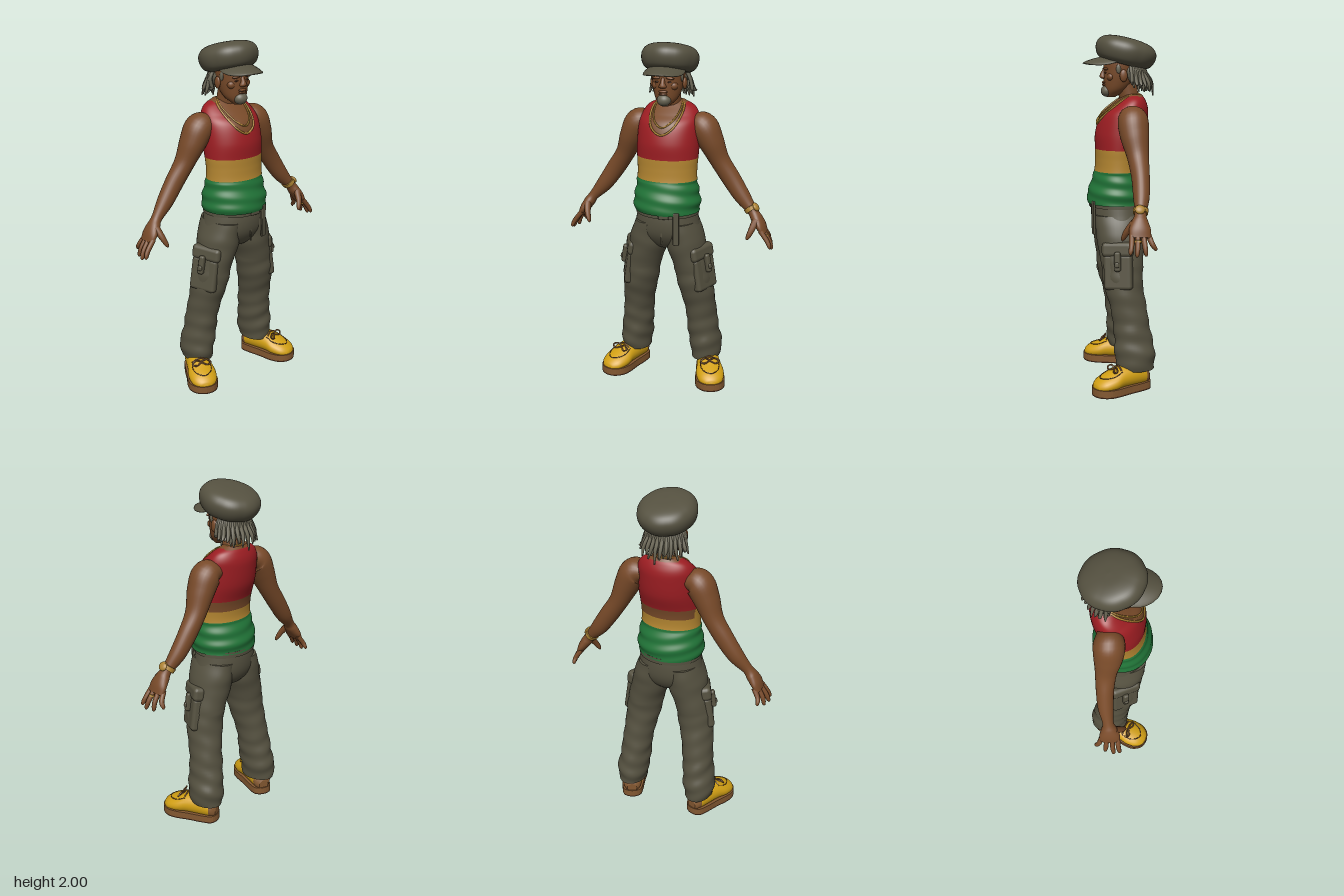
import * as THREE from 'three';
import { RoundedBoxGeometry } from 'three/addons/geometries/RoundedBoxGeometry.js';

const mat = (name, color) => {
  const m = new THREE.MeshStandardMaterial({ color });
  m.name = name;
  return m;
};
const V = (x, y, z) => new THREE.Vector3(x, y, z);
const UP = V(0, 1, 0), DOWN = V(0, -1, 0), FRONT = V(0, 0, 1);

// Smooth sweep through rings [x, y, z, radiusA, radiusB]
function sweep(rings, { seg = 24, steps = 5, dir = null, ref = FRONT, bump = null } = {}) {
  const path = new THREE.CatmullRomCurve3(rings.map(r => V(r[0], r[1], r[2])), false, 'catmullrom');
  const size = new THREE.CatmullRomCurve3(rings.map(r => V(r[3], r[4], 0)), false, 'catmullrom');
  const n = (rings.length - 1) * steps, pos = [], idx = [];
  for (let i = 0; i <= n; i++) {
    const p = path.getPoint(i / n), r = size.getPoint(i / n), t = dir || path.getTangent(i / n);
    const a = t.clone().cross(ref).normalize(), b = t.clone().cross(a).normalize();
    for (let j = 0; j < seg; j++) {
      const th = j / seg * Math.PI * 2, k = bump ? bump(p, th) : 1;
      const q = p.clone().addScaledVector(a, Math.cos(th) * r.x * k).addScaledVector(b, Math.sin(th) * r.y * k);
      pos.push(q.x, q.y, q.z);
    }
  }
  for (let i = 0; i < n; i++) for (let j = 0; j < seg; j++) {
    const a = i * seg + j, b = i * seg + (j + 1) % seg;
    idx.push(a, b, b + seg, a, b + seg, a + seg);
  }
  for (const end of [0, n]) {
    const base = pos.length / 3, p = path.getPoint(end / n);
    pos.push(...pos.slice(end * seg * 3, (end + 1) * seg * 3), p.x, p.y, p.z);
    for (let j = 0; j < seg; j++) {
      const a = base + j, b = base + (j + 1) % seg;
      if (end) idx.push(base + seg, a, b); else idx.push(base + seg, b, a);
    }
  }
  const g = new THREE.BufferGeometry();
  g.setAttribute('position', new THREE.Float32BufferAttribute(pos, 3));
  g.setIndex(idx);
  g.computeVertexNormals();
  return g;
}

// Sort triangles into material groups by the position of their centre
function paint(g, count, pick) {
  const lists = Array.from({ length: count }, () => []), p = g.attributes.position, ix = g.index.array;
  for (let i = 0; i < ix.length; i += 3) {
    const c = V(0, 0, 0);
    for (let k = 0; k < 3; k++) c.add(V(0, 0, 0).fromBufferAttribute(p, ix[i + k]));
    lists[pick(c.divideScalar(3))].push(ix[i], ix[i + 1], ix[i + 2]);
  }
  g.setIndex(lists.flat());
  let start = 0;
  lists.forEach((l, m) => { g.addGroup(start, l.length, m); start += l.length; });
  return g;
}

export function createModel() {
  const model = new THREE.Group();
  model.name = 'standingMan';
  const skin = mat('skin', 0x784a29), olive = mat('oliveCloth', 0x555140), hair = mat('greyHair', 0x686453);
  const red = mat('redCloth', 0x9c1d22), yellow = mat('yellowCloth', 0xb48631), green = mat('greenCloth', 0x207337);
  const suede = mat('yellowSuede', 0xd2a014), sole = mat('tanSole', 0x835831), dark = mat('darkBrown', 0x4f2f1c);
  const gold = mat('gold', 0xac8232);

  let seed = 7;
  const rnd = () => (seed = (seed * 16807) % 2147483647) / 2147483647;
  const add = (name, g, m, parent = model) => {
    const mesh = new THREE.Mesh(g, m);
    mesh.name = name;
    parent.add(mesh);
    return mesh;
  };
  const ball = (name, m, [x, y, z], [a, b, c], rx = 0, rz = 0) => {
    const mesh = add(name, new THREE.SphereGeometry(1, 24, 16).scale(a, b, c), m);
    mesh.position.set(x, y, z);
    mesh.rotation.set(rx, 0, rz);
    return mesh;
  };
  const box = (name, m, [x, y, z], [w, h, d], ry = 0, rz = 0) => {
    const mesh = add(name, new RoundedBoxGeometry(w, h, d, 2, Math.min(w, h, d) * 0.35), m);
    mesh.position.set(x, y, z);
    mesh.rotation.set(0, ry, rz, 'ZYX');
    return mesh;
  };
  const cord = (name, m, pts, r, closed = false, parent = model) => add(name, new THREE.TubeGeometry(
    new THREE.CatmullRomCurve3(pts.map(p => V(...p)), closed), 48, r, 6, closed), m, parent);

  // Torso with striped tank top, open neckline and bare lower back
  const torso = sweep([
    [0, 1.05, .012, .19, .168], [0, 1.1, .012, .195, .172], [0, 1.16, .01, .186, .155], [0, 1.235, .012, .175, .13],
    [0, 1.3, .01, .174, .127], [0, 1.36, .005, .178, .132], [0, 1.45, -.01, .18, .146], [0, 1.55, -.03, .175, .135],
    [0, 1.6, -.055, .162, .107], [0, 1.64, -.072, .132, .075], [0, 1.668, -.078, .075, .05]],
  { seg: 112, steps: 12, dir: UP,
    bump: (p, th) => p.y < 1.225 ? 1 + .02 * Math.sin(p.y * 85 + 2 * Math.sin(th + 1)) : 1 });
  paint(torso, 4, c => {
    if (c.y < 1.235) return 0;
    if (c.y < 1.36) return c.z < -.04 && c.y > 1.3 ? 3 : 1;
    const u = 1 - Math.abs(c.x / .092) ** 2.6;
    const neck = u > 0 && (c.z > -.07 ? c.y > 1.635 - .135 * Math.sqrt(u) : c.y > 1.655);
    return neck ? 3 : 2;
  });
  add('tankTopTorso', torso, [green, yellow, red, skin]);
  add('neck', sweep([[0, 1.56, -.065, .075, .065], [0, 1.64, -.06, .06, .058], [0, 1.76, -.03, .057, .06]], { dir: UP }), skin);

  // Head and face
  add('head', sweep([[0, 1.652, .047, .025, .025], [0, 1.69, .02, .062, .062], [0, 1.74, 0, .08, .087],
    [0, 1.8, -.01, .09, .098], [0, 1.86, -.02, .092, .105], [0, 1.92, -.03, .07, .08]], { seg: 32, dir: UP }), skin);
  add('nose', sweep([[0, 1.81, .08, .01, .01], [0, 1.785, .09, .013, .015], [0, 1.764, .092, .022, .018],
    [0, 1.754, .086, .014, .01]], { seg: 14, dir: DOWN }), skin);
  ball('beard', hair, [0, 1.687, .068], [.04, .034, .036], .3);
  ball('upperLip', skin, [0, 1.735, .085], [.026, .008, .011]);
  ball('lowerLip', skin, [0, 1.721, .085], [.024, .007, .012]);
  ball('mouthLine', dark, [0, 1.728, .089], [.022, .0025, .005]);
  for (const s of [1, -1]) {
    ball('eye', dark, [s * .036, 1.788, .08], [.013, .0045, .005]);
    ball('browRidge', skin, [s * .037, 1.81, .078], [.026, .008, .012], 0, s * -.12);
    ball('cheek', skin, [s * .047, 1.765, .052], [.028, .024, .022]);
    ball('ear', skin, [s * .094, 1.772, -.015], [.012, .034, .022]);
    ball('sideburn', hair, [s * .086, 1.81, .012], [.008, .026, .014]);
  }

  // Dreadlocks hanging and flaring out from under the cap
  ball('hairBase', hair, [0, 1.8, -.062], [.092, .085, .08]);
  for (let layer = 0; layer < 2; layer++) for (let i = 0; i < 15; i++) {
    const f = .12 + (i + layer * .5) / 14.5 * (Math.PI - .24), c = Math.cos(f), d = Math.sin(f);
    const out = .138 + rnd() * .024 - layer * .024, end = 1.65 + rnd() * .05 + .035 * Math.abs(c);
    add('dreadlock', sweep([[c * .085, 1.845, -.045 - d * .08, .01, .01], [c * .112, 1.79, -.045 - d * .105, .011, .011],
      [c * (out - .014), 1.735, -.045 - d * (out - .018), .0105, .0105],
      [c * out + (rnd() - .5) * .025, end, -.045 - d * out * .95, .004, .004]], { seg: 7, steps: 3 }), hair);
  }

  // Cap, tilted back, with curved visor
  const cap = add('capCrown', sweep([[0, -.075, 0, .11, .115], [0, -.055, 0, .142, .15], [0, -.015, 0, .158, .17],
    [0, .025, 0, .155, .168], [0, .057, 0, .128, .138], [0, .073, 0, .075, .08], [0, .077, 0, .004, .004]],
  { seg: 64, dir: UP, bump: (p, th) => 1 + .016 * Math.abs(Math.cos(th * 4)) }), olive);
  cap.position.set(0, 1.905, -.04);
  cap.rotation.x = -.25;
  const visor = ball('capVisor', olive, [0, 1.868, .068], [.115, .016, .14], .2);
  const vp = visor.geometry.attributes.position;
  for (let i = 0; i < vp.count; i++) vp.setY(i, vp.getY(i) - vp.getX(i) ** 2 * 2.4);
  visor.geometry.computeVertexNormals();

  // Necklaces
  const chain = half => [...half, ...half.slice(1, -1).reverse().map(([x, y, z]) => [-x, y, z])];
  cord('longNecklace', gold, chain([[0, 1.5, .126], [.055, 1.53, .114], [.09, 1.6, .039], [.08, 1.655, -.045], [0, 1.665, -.12]]), .006, true);
  cord('shortNecklace', gold, chain([[0, 1.54, .113], [.045, 1.565, .092], [.074, 1.615, .029], [.07, 1.66, -.045], [0, 1.67, -.115]]), .005, true);

  // Trousers: hips, belt and hanging strap
  add('hips', sweep([[0, 1.09, .005, .165, .148], [0, 1.0, .005, .182, .157], [0, .93, .003, .194, .15],
    [0, .875, 0, .165, .125], [0, .835, 0, .07, .09], [0, .815, 0, .02, .04]], { seg: 48, dir: DOWN }), olive);
  add('belt', sweep([[0, 1.03, .006, .183, .163], [0, 1.065, .006, .181, .163]], { seg: 48, dir: UP }), olive);
  box('beltBuckle', olive, [.03, 1.045, .167], [.06, .032, .014], .05);
  box('hangingStrap', olive, [.1, .975, .157], [.034, .19, .014], .25);
  box('flySeam', olive, [.012, .95, .152], [.01, .16, .006]);

  for (const s of [1, -1]) {
    const side = s > 0 ? 'left' : 'right';
    const m = rings => rings.map(([x, ...r]) => [x * s, ...r]);

    // Leg with loose cloth folds
    add(side + 'TrouserLeg', sweep(m([[.09, .99, .004, .09, .145], [.108, .9, .003, .108, .142], [.116, .83, .003, .114, .134],
      [.15, .72, 0, .108, .12], [.17, .6, -.005, .104, .112], [.193, .45, -.035, .092, .103], [.208, .3, -.055, .092, .108],
      [.221, .2, -.066, .095, .116], [.222, .118, -.068, .083, .106]]),
    { seg: 44, steps: 9, dir: DOWN, bump: (p, th) => 1 + (p.y < .4 ? .03 : p.y < .7 ? .016 : .006)
      * (Math.sin(p.y * 62 + 2.2 * Math.sin(th + s) + s) + .5 * Math.sin(p.y * 31 + 3 * th)) }), olive);

    // Cargo pocket
    box(side + 'CargoPocket', olive, [s * .226, .685, .03], [.165, .2, .06], s * 1.15, s * .15);
    box(side + 'PocketFlap', olive, [s * .207, .81, .032], [.18, .085, .07], s * 1.15, s * .15);
    box(side + 'PocketStrap', olive, [s * .25, .75, .036], [.035, .11, .046], s * 1.15, s * .15);
    box(side + 'PocketBuckle', olive, [s * .267, .735, .042], [.026, .03, .03], s * 1.15, s * .15);

    // Arm and palm
    add(side + 'Arm', sweep(m([[.13, 1.55, -.06, .05, .06], [.19, 1.53, -.055, .08, .084], [.235, 1.45, -.058, .073, .08],
      [.285, 1.34, -.07, .056, .06], [.35, 1.24, -.075, .054, .05], [.42, 1.14, -.07, .047, .044],
      [.487, 1.062, -.056, .03, .031], [.513, 1.025, -.05, .032, .044], [.54, .985, -.046, .028, .058],
      [.562, .945, -.045, .018, .056]]), { seg: 28, steps: 6 }), skin);

    // Spread fingers and thumb
    const fingers = [
      [.56, -.002, .606, .868, .012], [.566, -.032, .61, .856, -.022],
      [.562, -.062, .598, .857, -.07], [.553, -.088, .575, .88, -.122]];
    for (const [x, z, tx, ty, tz] of fingers)
      add(side + 'Finger', sweep(m([[x - .012, .965, z, .015, .015], [(x + tx) / 2 + .007, (.955 + ty) / 2, (z + tz) / 2, .014, .014],
        [tx, ty + .012, tz, .011, .011], [tx + .002, ty, tz, .004, .004]]), { seg: 10, steps: 3 }), skin);
    add(side + 'Thumb', sweep(m([[.517, 1.02, -.02, .022, .022], [.503, .975, .015, .018, .018],
      [.487, .935, .034, .013, .013], [.48, .918, .04, .005, .005]]), { seg: 10, steps: 3 }), skin);

    // Shoe, toes turned out, with tan heel
    const shoe = new THREE.Group();
    shoe.name = side + 'Shoe';
    shoe.position.set(s * .265, 0, .015);
    shoe.rotation.y = s * .38;
    model.add(shoe);
    const half = [[.05, .165], [.082, .12], [.087, .07], [.074, -.02], [.066, -.1], [.05, -.158]];
    const outline = new THREE.Shape(new THREE.CatmullRomCurve3([[0, .18], ...half, [0, -.177],
      ...half.map(([x, y]) => [-x, y]).reverse()].map(([x, y]) => V(x, y, 0)), true).getPoints(48).slice(0, -1).map(p => new THREE.Vector2(p.x, p.y)));
    const slab = (name, y0, y1, mt) => add(name, new THREE.ExtrudeGeometry(outline, { depth: y1 - y0, bevelEnabled: false })
      .rotateX(Math.PI / 2).translate(0, y1, 0), mt, shoe);
    slab('outsole', 0, .008, dark);
    slab('midsole', .008, .046, sole);
    add('shoeUpper', paint(sweep([[0, .065, -.17, .03, .03], [0, .08, -.145, .054, .055], [0, .088, -.08, .064, .067],
      [0, .085, .01, .073, .064], [0, .07, .07, .083, .054], [0, .057, .13, .072, .042], [0, .05, .164, .042, .024],
      [0, .046, .174, .012, .008]], { seg: 28, ref: UP, dir: FRONT }), 2, c => c.z < -.135 ? 1 : 0), [suede, sole], shoe);
    cord('toeSeam', dark, [[-.049, .131, .02], [-.055, .111, .07], [-.036, .101, .115], [0, .098, .136],
      [.036, .101, .115], [.055, .111, .07], [.049, .131, .02]], .0025, false, shoe);
    for (const k of [1, -1])
      cord('laceBow', sole, [[0, .139, .045], [k * .03, .153, .05], [k * .055, .138, .06], [k * .035, .128, .068], [0, .136, .048]], .005, false, shoe);
    cord('laceBar', sole, [[-.045, .133, .025], [0, .15, .022], [.045, .133, .025]], .005, false, shoe);
  }

  // Wristwatch and ring on the left hand
  add('watchBand', sweep([[.47, 1.083, -.06, .041, .041], [.486, 1.063, -.056, .038, .04]], { seg: 24 }), gold);
  ball('watchFace', gold, [.508, 1.088, -.05], [.014, .026, .028], 0, .65);
  add('fingerRing', sweep([[.572, .935, -.032, .019, .019], [.577, .924, -.031, .019, .019]], { seg: 12 }), gold);

  return model;
}
